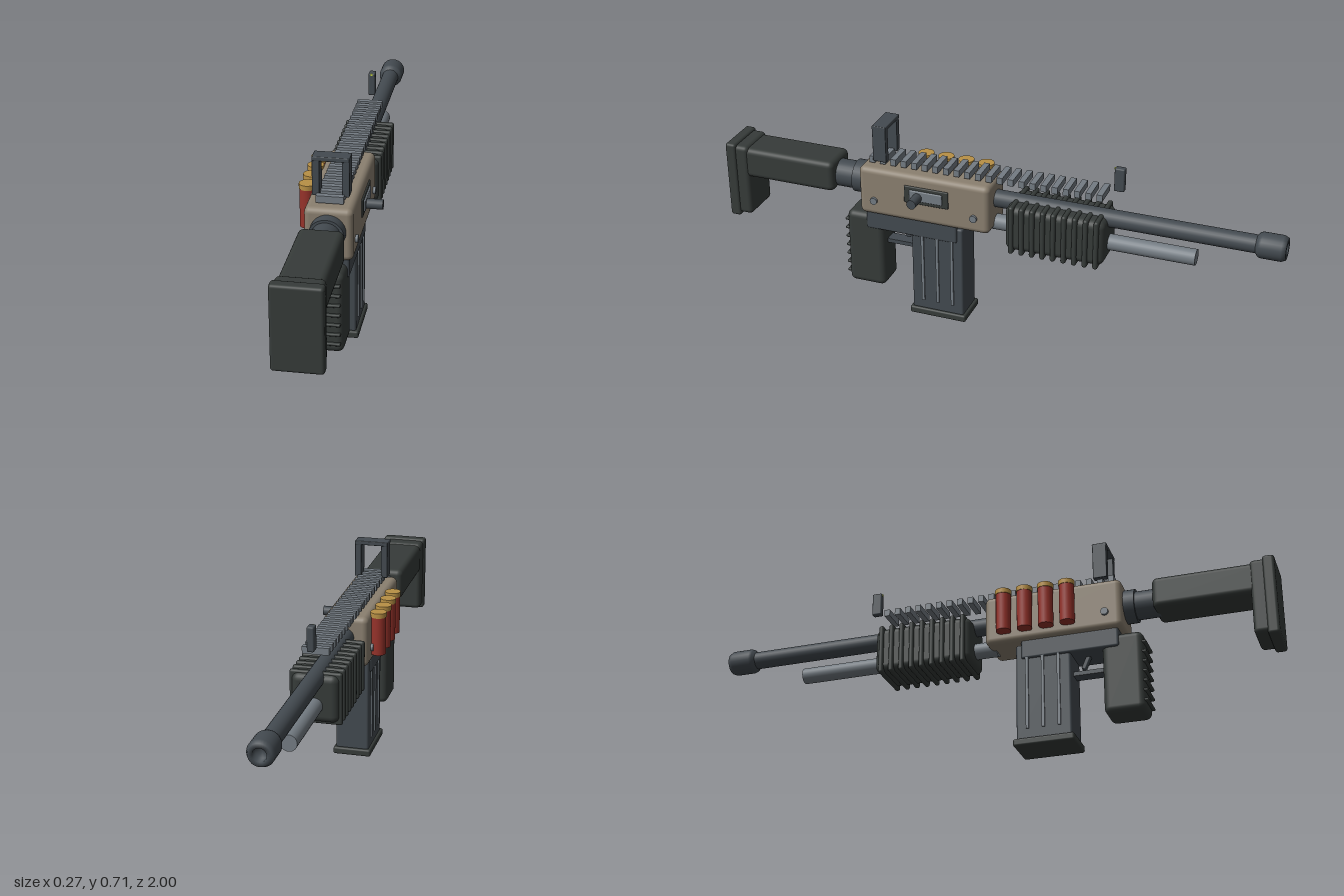
import * as THREE from 'three';
import { RoundedBoxGeometry } from 'three/addons/geometries/RoundedBoxGeometry.js';

const mat = (color) => new THREE.MeshStandardMaterial({ color });
const CX = -0.008; // centre plane of the body

export function createModel() {
  const model = new THREE.Group();
  const tan = mat(0x8b8070), black = mat(0x363b39), steel = mat(0x434a50);
  const grey = mat(0x747c83), red = mat(0x96322a), brass = mat(0xb89045), dot = mat(0xc8d840);

  const add = (name, geometry, material, x, y, z, parent = model) => {
    const mesh = new THREE.Mesh(geometry, material);
    mesh.name = name;
    mesh.position.set(x, y, z);
    parent.add(mesh);
    return mesh;
  };
  // box given by its width and its y and z ranges, rounded by r
  const block = (name, material, w, y0, y1, z0, z1, r = 0, x = CX, parent = model) => {
    const h = y1 - y0, d = z1 - z0;
    const g = r ? new RoundedBoxGeometry(w, h, d, 3, r) : new THREE.BoxGeometry(w, h, d);
    return add(name, g, material, x, (y0 + y1) / 2, (z0 + z1) / 2, parent);
  };
  // cylinder along z
  const rod = (name, material, r, y, z0, z1) => {
    const g = new THREE.CylinderGeometry(r, r, z1 - z0, 28).rotateX(Math.PI / 2);
    return add(name, g, material, CX, y, (z0 + z1) / 2);
  };
  // cylinder along x
  const pin = (name, material, r, x0, x1, y, z) => {
    const g = new THREE.CylinderGeometry(r, r, x1 - x0, 20).rotateZ(Math.PI / 2);
    return add(name, g, material, (x0 + x1) / 2, y, z);
  };
  const group = (name) => {
    const g = new THREE.Group();
    g.name = name;
    model.add(g);
    return g;
  };

  // receiver
  block('receiver', tan, 0.158, 0.38, 0.56, 0, 0.482, 0.02);
  block('lowerReceiver', steel, 0.13, 0.315, 0.385, 0.125, 0.465, 0.008);
  for (const s of [-1, 1]) {
    for (const z of [0.055, 0.425]) {
      pin('receiverPin', grey, 0.013, CX + s * 0.08 - 0.008, CX + s * 0.08 + 0.008, 0.438, z);
    }
  }

  // ejection port, bolt and charging handle
  block('ejectionPort', black, 0.02, 0.455, 0.52, 0.147, 0.31, 0.004, 0.066);
  block('bolt', grey, 0.02, 0.468, 0.508, 0.168, 0.29, 0.004, 0.071);
  pin('chargingHandle', steel, 0.017, 0.06, 0.135, 0.484, 0.258);

  // barrel with bored muzzle, and magazine tube
  rod('barrel', steel, 0.031, 0.488, -0.92, 0.02);
  const muzzle = [[0.031, 0], [0.041, 0.008], [0.044, 0.018], [0.044, 0.085], [0.037, 0.1],
    [0.022, 0.1], [0.022, 0.07], [0, 0.07]].map(([r, l]) => new THREE.Vector2(r, l));
  const muzzleGeo = new THREE.LatheGeometry(muzzle, 28).toNonIndexed();
  muzzleGeo.rotateX(-Math.PI / 2);
  const muzzleMat = mat(0x434a50);
  muzzleMat.side = THREE.DoubleSide;
  add('muzzle', muzzleGeo, muzzleMat, CX, 0.488, -0.9);
  rod('magazineTube', grey, 0.028, 0.397, -0.705, 0.025);

  // ribbed fore-end
  const foreEnd = group('foreEnd');
  block('foreEndBody', black, 0.16, 0.337, 0.503, -0.405, -0.055, 0.025, CX, foreEnd);
  for (let i = 0; i < 9; i++) {
    const z = -0.08 - i * 0.0375;
    block('foreEndRib', black, 0.176, 0.329, 0.509, z - 0.009, z + 0.009, 0.008, CX, foreEnd);
  }

  // top rail
  const rail = group('topRail');
  for (let i = 0; i < 22; i++) {
    const z = 0.442 - i * 0.039;
    block('railSlat', grey, 0.09, 0.567, 0.591, z - 0.01, z + 0.01, 0, CX, rail);
  }

  // sights
  const rear = group('rearSight');
  for (const s of [-1, 1]) {
    block('rearSightPost', steel, 0.024, 0.582, 0.705, 0.383, 0.432, 0.003, CX + s * 0.048, rear);
  }
  block('rearSightBar', steel, 0.12, 0.7, 0.715, 0.382, 0.433, 0.003, CX, rear);
  block('frontSight', steel, 0.024, 0.597, 0.681, -0.45, -0.415, 0.005);
  block('sightDot', dot, 0.007, 0.673, 0.68, -0.418, -0.413);

  // stock
  rod('stockCollar', steel, 0.058, 0.483, 0.47, 0.52);
  rod('stockTube', steel, 0.049, 0.483, 0.5, 0.6);
  block('stockBody', black, 0.144, 0.434, 0.546, 0.585, 0.95, 0.02);
  block('stockButt', black, 0.152, 0.285, 0.553, 0.915, 0.985, 0.016);
  block('buttPad', black, 0.163, 0.275, 0.56, 0.96, 1, 0.01);

  // pistol grip with back ridges
  block('grip', black, 0.118, 0.08, 0.365, 0.405, 0.545, 0.022);
  for (let i = 0; i < 7; i++) {
    const y = 0.116 + i * 0.035;
    block('gripRidge', black, 0.1, y - 0.005, y + 0.005, 0.53, 0.555, 0.004);
  }

  // trigger and guard
  const trigger = block('trigger', steel, 0.02, 0.27, 0.335, 0.332, 0.348, 0.004);
  trigger.rotation.x = 0.4;
  block('triggerGuard', steel, 0.045, 0.245, 0.26, 0.29, 0.415);

  // box magazine with side ribs
  block('magazine', steel, 0.118, 0.02, 0.37, 0.105, 0.297, 0.008);
  block('magazineBase', black, 0.136, 0, 0.026, 0.095, 0.306, 0.007);
  for (const s of [-1, 1]) {
    for (const z of [0.145, 0.2, 0.255]) {
      block('magazineRib', grey, 0.01, 0.06, 0.33, z - 0.005, z + 0.005, 0, CX + s * 0.059);
    }
  }

  // spare shells on the right side
  for (let i = 0; i < 4; i++) {
    const z = 0.075 + i * 0.075, x = -0.108;
    add('shellCase', new THREE.CylinderGeometry(0.026, 0.026, 0.14, 24), red, x, 0.48, z);
    add('shellCap', new THREE.CylinderGeometry(0.028, 0.028, 0.017, 24), brass, x, 0.5545, z);
  }

  return model;
}
